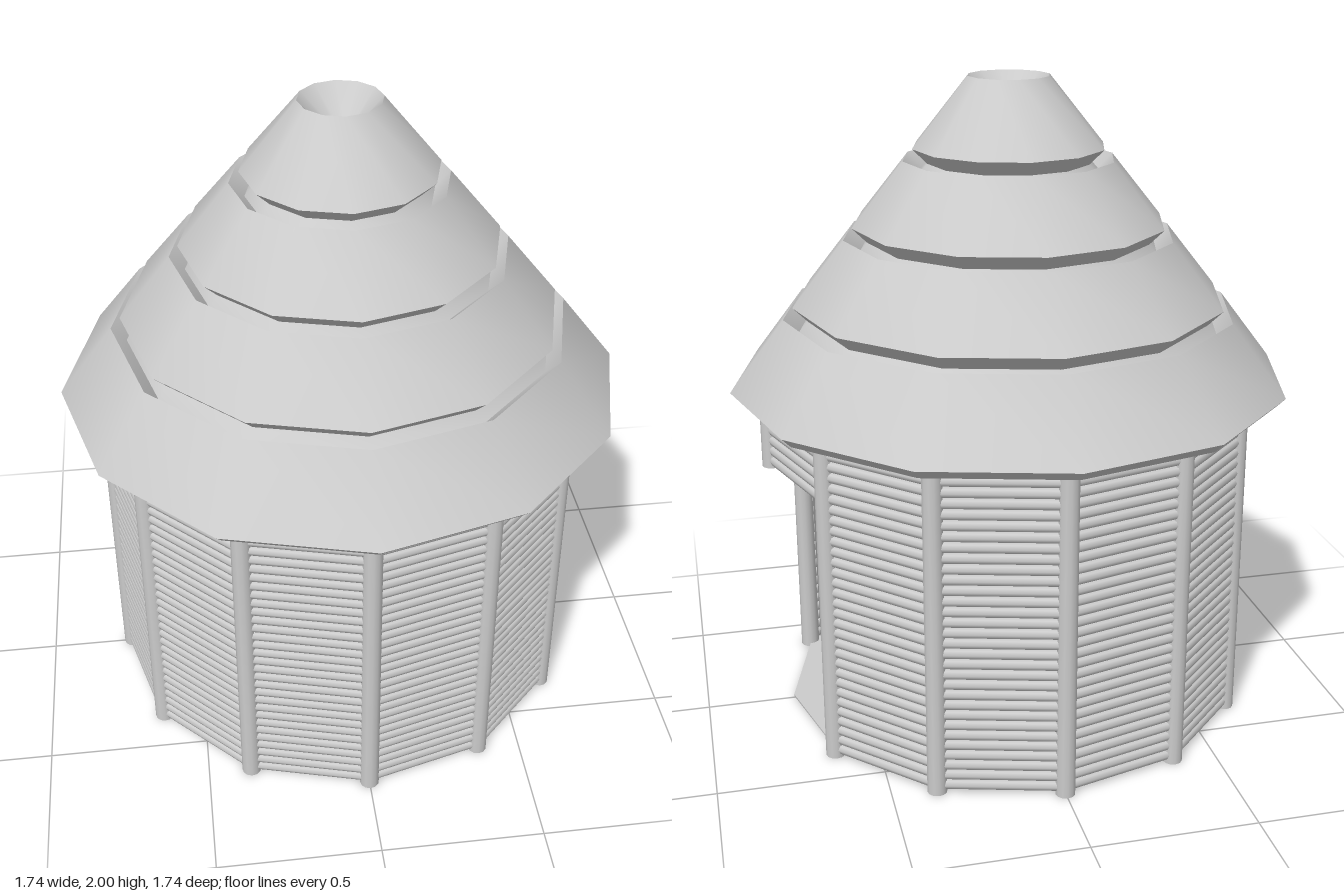
import * as THREE from 'three';
import { mergeGeometries, toCreasedNormals } from 'three/addons/utils/BufferGeometryUtils.js';

const SIDES = 12;
const POST_RING = 0.73;   // distance of the posts from the centre
const POST_R = 0.03;
const WALL_TOP = 1.045;
const PITCH = 0.0332;     // spacing of the stacked logs

const material = new THREE.MeshStandardMaterial({ color: 0xcccccc });
const thin = new THREE.MeshStandardMaterial({ color: 0xcccccc, side: THREE.DoubleSide });

function addMesh(parent, name, geometry, mat = material) {
  const mesh = new THREE.Mesh(geometry, mat);
  mesh.name = name;
  parent.add(mesh);
  return mesh;
}

// Corner of the twelve-sided plan; corner 0 is on +z, corner 3 on +x
function corner(i, r = POST_RING) {
  const a = (i / SIDES) * Math.PI * 2;
  return new THREE.Vector3(Math.sin(a) * r, 0, Math.cos(a) * r);
}

function addPost(parent, name, at, y0, y1) {
  const post = addMesh(parent, name, new THREE.CylinderGeometry(POST_R, POST_R, y1 - y0, 12));
  post.position.set(at.x, (y0 + y1) / 2, at.z);
}

// Stack of horizontal logs running from a to b
function logStack(a, b, y0, y1) {
  const logs = [];
  const length = a.distanceTo(b);
  const angle = Math.atan2(b.x - a.x, b.z - a.z);
  for (let y = y0 + PITCH / 2; y < y1; y += PITCH) {
    const log = new THREE.CylinderGeometry(PITCH * 0.52, PITCH * 0.52, length, 8);
    log.rotateX(Math.PI / 2).rotateY(angle);
    log.translate((a.x + b.x) / 2, y, (a.z + b.z) / 2);
    logs.push(log);
  }
  return mergeGeometries(logs);
}

export function createModel() {
  const hut = new THREE.Group();
  hut.name = 'hut';

  // Floor
  const floor = addMesh(hut, 'floor', new THREE.CylinderGeometry(0.725, 0.725, 0.006, SIDES));
  floor.position.y = 0.008;

  // Posts and log walls, leaving the two bays around corner 3 open as a doorway
  const posts = new THREE.Group();
  posts.name = 'posts';
  const walls = new THREE.Group();
  walls.name = 'logWalls';
  hut.add(posts, walls);
  for (let i = 0; i < SIDES; i++) {
    if (i !== 3) addPost(posts, 'post', corner(i), 0, WALL_TOP);
    if (i !== 2 && i !== 3) {
      addMesh(walls, 'logWall', logStack(corner(i), corner(i + 1), 0.01, WALL_TOP - 0.01));
    }
  }

  // Lintel over the doorway with its short hanging post
  const lintel = new THREE.Group();
  lintel.name = 'doorLintel';
  hut.add(lintel);
  const middle = corner(3, 0.755);
  addPost(lintel, 'shortPost', middle, 0.825, WALL_TOP);
  addMesh(lintel, 'lintelLogs', logStack(corner(2), middle, 0.832, WALL_TOP - 0.01));
  addMesh(lintel, 'lintelLogs', logStack(middle, corner(4), 0.832, WALL_TOP - 0.01));

  // Smooth inner lining, open at the doorway
  const lining = [[0.69, 0.01], [0.70, 0.86], [0.722, WALL_TOP]].map(p => new THREE.Vector2(...p));
  addMesh(hut, 'innerWall',
    new THREE.LatheGeometry(lining, SIDES - 2, Math.PI * 4 / 6, Math.PI * 10 / 6), thin);

  // Tiered roof: [lower radius, lower y, upper radius, upper y] with bevelled grooves between
  const tiers = [
    [0.87, 1.07, 0.70, 1.29],
    [0.67, 1.325, 0.51, 1.525],
    [0.483, 1.56, 0.325, 1.755],
    [0.295, 1.79, 0.125, 2.0],
  ];
  const profile = [[0.73, 1.04], [0.84, 1.04]];
  tiers.forEach(([r0, y0, r1, y1], i) => {
    if (i > 0) profile.push([r0 - 0.045, y0 - 0.045]);
    profile.push([r0, y0], [r1, y1]);
    if (i < tiers.length - 1) profile.push([r1 - 0.045, y1 - 0.045]);
  });
  // Funnel-shaped smoke hole, then the underside back to the wall
  profile.push([0.035, 1.9], [0.73, 1.04]);
  const roof = new THREE.LatheGeometry(profile.map(p => new THREE.Vector2(...p)), SIDES);
  addMesh(hut, 'roof', toCreasedNormals(roof, 0.6), thin);

  return hut;
}
